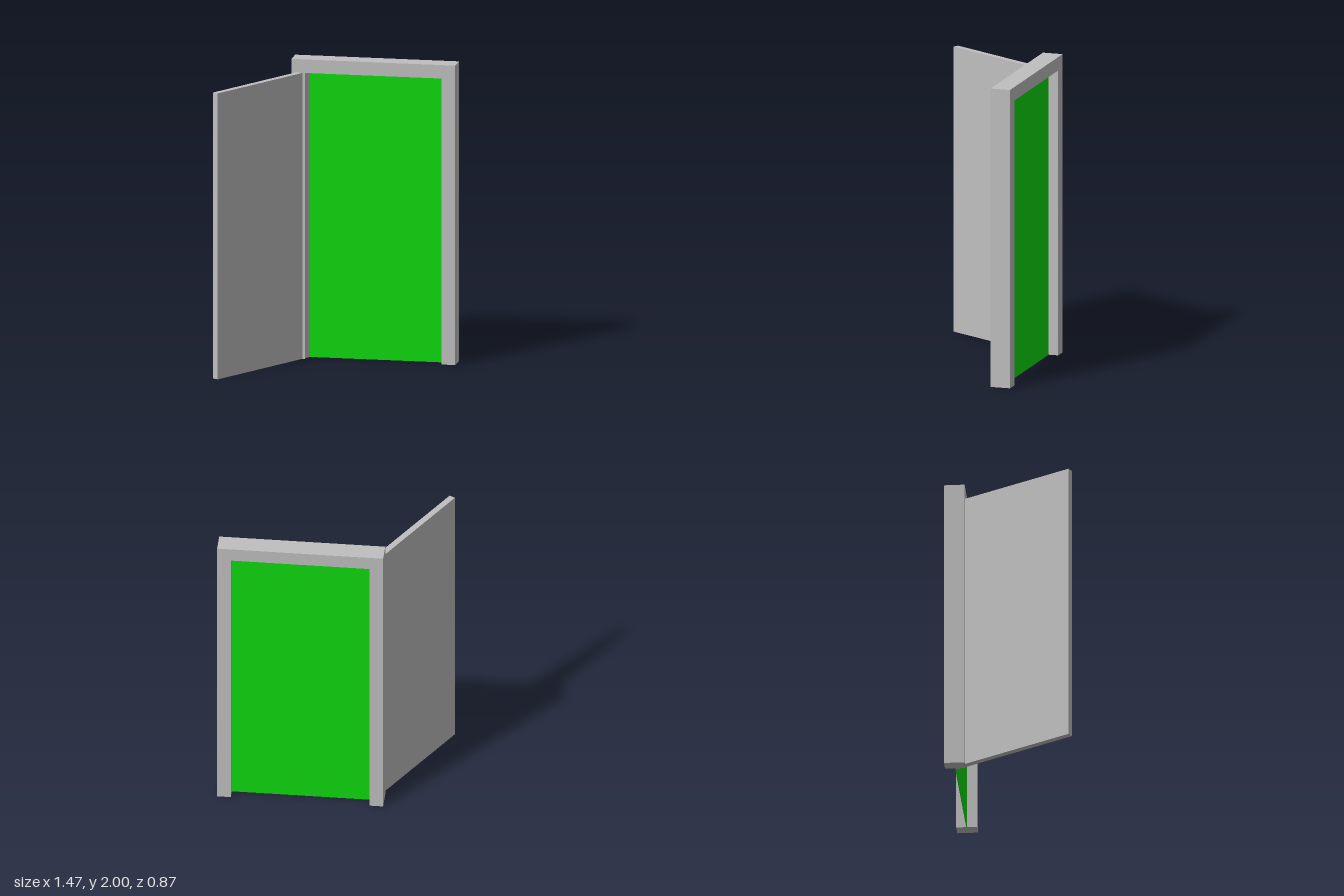
import * as THREE from 'three';

export function createModel() {
  const model = new THREE.Group();
  model.name = 'openDoor';

  const grey = new THREE.MeshStandardMaterial({ color: 0xbfbfbf });
  grey.name = 'grey';
  const green = new THREE.MeshStandardMaterial({ color: 0x0ed80e });
  green.name = 'green';

  const left = -0.355, right = 0.735; // outer sides of the frame
  const board = 0.09; // width of the frame boards
  const height = 2, opening = height - board;
  const depth = 0.135, midZ = -0.367;
  const doorWidth = right - left - 2 * board;

  // Frame: one U-shaped outline, open at the floor
  const outline = new THREE.Shape([
    [left, 0], [left + board, 0], [left + board, opening], [right - board, opening],
    [right - board, 0], [right, 0], [right, height], [left, height],
  ].map(([x, y]) => new THREE.Vector2(x, y)));
  const frame = new THREE.Mesh(
    new THREE.ExtrudeGeometry(outline, { depth, bevelEnabled: false }), grey);
  frame.name = 'doorFrame';
  frame.position.z = midZ - depth / 2;
  model.add(frame);

  // Thin green panel filling the doorway
  const panel = new THREE.Mesh(new THREE.BoxGeometry(doorWidth, opening, 0.004), green);
  panel.name = 'doorwayPanel';
  panel.position.set((left + right) / 2, opening / 2, midZ);
  model.add(panel);

  // Door leaf, swung outward about the hinge line in the middle of the jamb
  const hinge = new THREE.Group();
  hinge.name = 'doorHinge';
  hinge.position.set(left + board, 0, midZ);
  hinge.rotation.y = -THREE.MathUtils.degToRad(120);
  const door = new THREE.Mesh(new THREE.BoxGeometry(doorWidth, opening, 0.042), grey);
  door.name = 'doorLeaf';
  door.position.set(doorWidth / 2, opening / 2, 0);
  hinge.add(door);
  model.add(hinge);

  return model;
}
